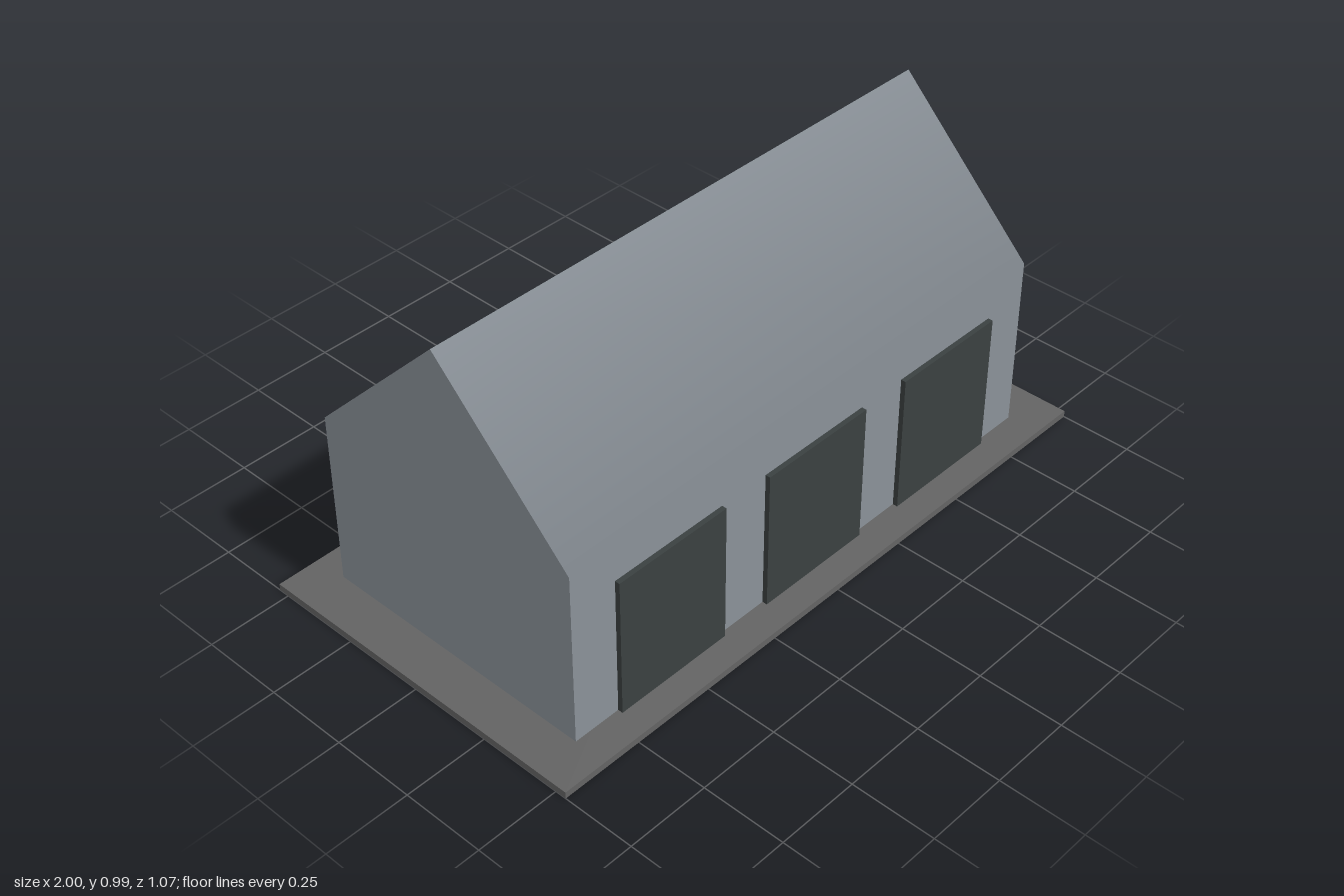
import * as THREE from 'three';

const U = 1 / 15; // one building module

export function createModel() {
  const model = new THREE.Group();
  const concrete = new THREE.MeshStandardMaterial({ name: 'dark concrete', color: 0x636363 });
  const cladding = new THREE.MeshStandardMaterial({ name: 'grey cladding', color: 0x8a9198 });
  const doorPaint = new THREE.MeshStandardMaterial({ name: 'charcoal door', color: 0x3a4040 });

  const add = (name, geometry, material, x, y, z) => {
    const mesh = new THREE.Mesh(geometry, material);
    mesh.name = name;
    mesh.position.set(x, y, z);
    model.add(mesh);
  };

  const slabTop = 0.3 * U;
  const length = 26 * U, half = 6.5 * U, wallHeight = 8 * U;

  // Ground slab
  add('slab', new THREE.BoxGeometry(30 * U, slabTop, 16 * U), concrete, 0, slabTop / 2, 0);

  // Hall walls
  add('walls', new THREE.BoxGeometry(length, wallHeight, 2 * half), cladding, 0, slabTop + wallHeight / 2, 0);

  // Gabled roof: half a cylinder in two segments, softly shaded over the ridge
  const roof = new THREE.CylinderGeometry(half, half, length, 2, 1, false, 0, Math.PI);
  roof.rotateZ(Math.PI / 2);
  add('roof', roof, cladding, 0, slabTop + wallHeight, 0);

  // Three bay doors standing slightly proud of the front wall
  const doorHeight = 6.4 * U, doorDepth = 0.015;
  const names = ['rightDoor', 'middleDoor', 'leftDoor'];
  names.forEach((name, i) => {
    add(name, new THREE.BoxGeometry(5.6 * U, doorHeight, doorDepth), doorPaint,
      (i - 1) * 8 * U, slabTop + doorHeight / 2, half + doorDepth / 2);
  });

  return model;
}
